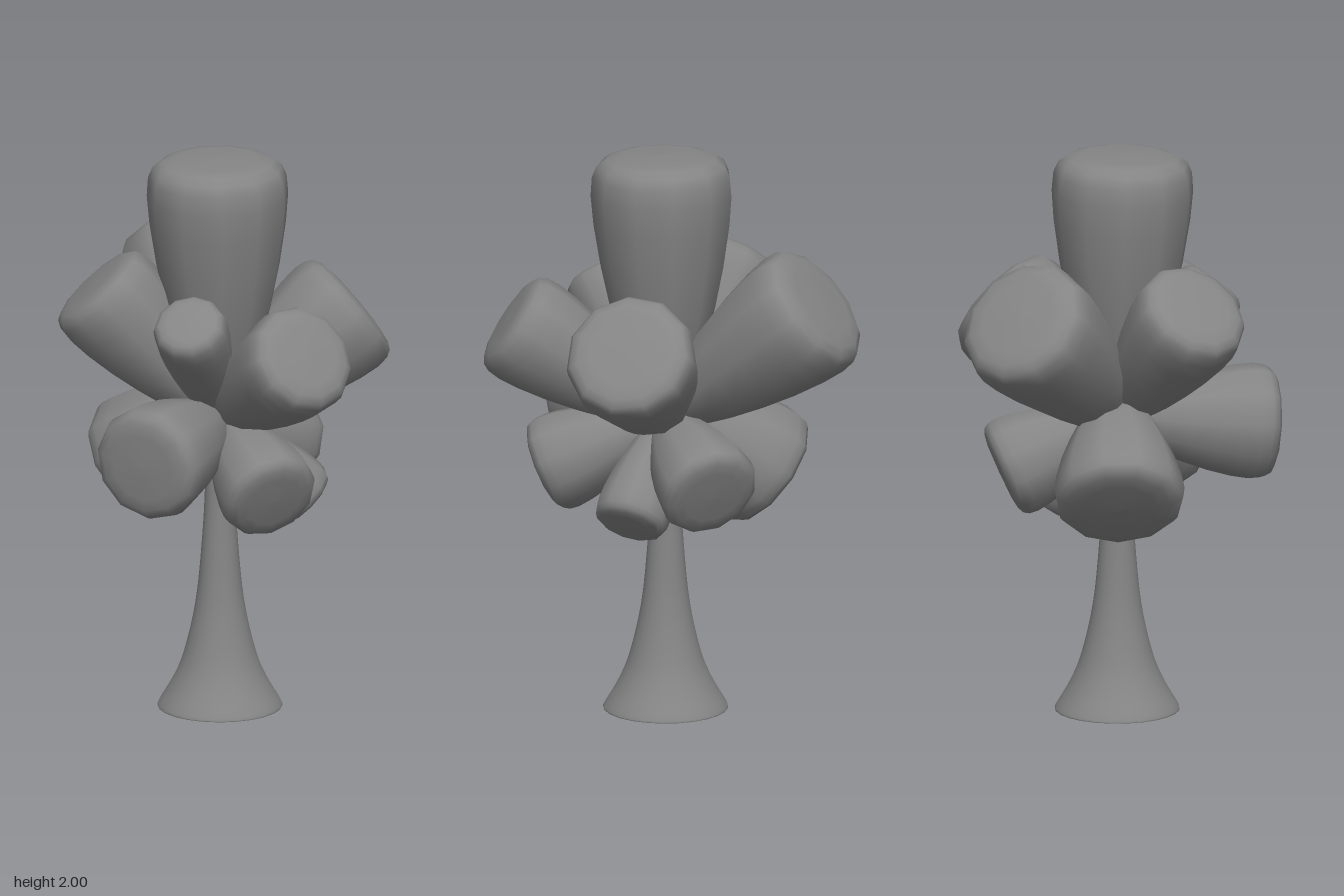
import * as THREE from 'three';

const material = new THREE.MeshStandardMaterial({ color: 0x858585 });
const hub = [-0.01, 1.05, 0.02];
const up = new THREE.Vector3(0, 1, 0);

// Lobe profile: [radius factor, fraction of length]
const lobeProfile = [
  [0, 0], [0.24, 0.01], [0.40, 0.12], [0.59, 0.27], [0.74, 0.42], [0.87, 0.58],
  [0.965, 0.74], [1, 0.85], [0.98, 0.92], [0.915, 0.96], [0.79, 0.983], [0.58, 0.995], [0, 1],
];

// Tip position, greatest radius and (where it is not the hub) root of each lobe
const lobes = [
  ['topLobe', [-0.008, 2.0, 0.038], 0.25],
  ['frontLobe', [-0.002, 1.005, 0.578], 0.205],
  ['upperBackRightLobe', [-0.412, 1.533, -0.415], 0.242],
  ['upperBackLeftLobe', [0.33, 1.427, -0.352], 0.23],
  ['upperFrontLeftLobe', [0.488, 1.415, 0.262], 0.198],
  ['upperFrontRightLobe', [-0.4, 1.54, 0.237], 0.202],
  ['smallFrontLobe', [0.07, 1.505, 0.385], 0.132],
  ['lowerRightLobe', [-0.4, 0.812, -0.045], 0.23, [-0.01, 1.13, 0.01]],
  ['lowerFrontLeftLobe', [0.35, 0.853, 0.26], 0.175],
  ['smallLowerLobe', [0.23, 0.727, -0.17], 0.133],
  ['lowerBackLobe', [0.012, 0.865, -0.4], 0.18],
];

function makeLobe(name, tip, radius, root = hub) {
  const start = new THREE.Vector3(...root);
  const axis = new THREE.Vector3(...tip).sub(start);
  const length = axis.length();
  const points = lobeProfile.map(([r, t]) => new THREE.Vector2(r * radius, t * length));
  const mesh = new THREE.Mesh(new THREE.LatheGeometry(points, 11), material);
  mesh.name = name;
  mesh.position.copy(start);
  mesh.quaternion.setFromUnitVectors(up, axis.normalize());
  return mesh;
}

export function createModel() {
  const group = new THREE.Group();
  group.name = 'lobedTree';

  // Flared trunk
  const curve = new THREE.SplineCurve([
    [0.218, 0], [0.214, 0.015], [0.165, 0.1], [0.125, 0.2], [0.085, 0.38],
    [0.063, 0.6], [0.052, 0.8], [0.045, 1.07],
  ].map(([r, y]) => new THREE.Vector2(r, y)));
  const trunk = new THREE.Mesh(new THREE.LatheGeometry(curve.getPoints(28), 24), material);
  trunk.name = 'trunk';
  trunk.position.set(-0.012, 0, 0.015);
  group.add(trunk);

  // Flat underside
  const base = new THREE.Mesh(new THREE.CircleGeometry(0.218, 24), material);
  base.name = 'trunkBase';
  base.rotation.x = Math.PI / 2;
  base.position.copy(trunk.position);
  group.add(base);

  // Lobes radiating from the hub
  for (const lobe of lobes) group.add(makeLobe(...lobe));
  return group;
}
